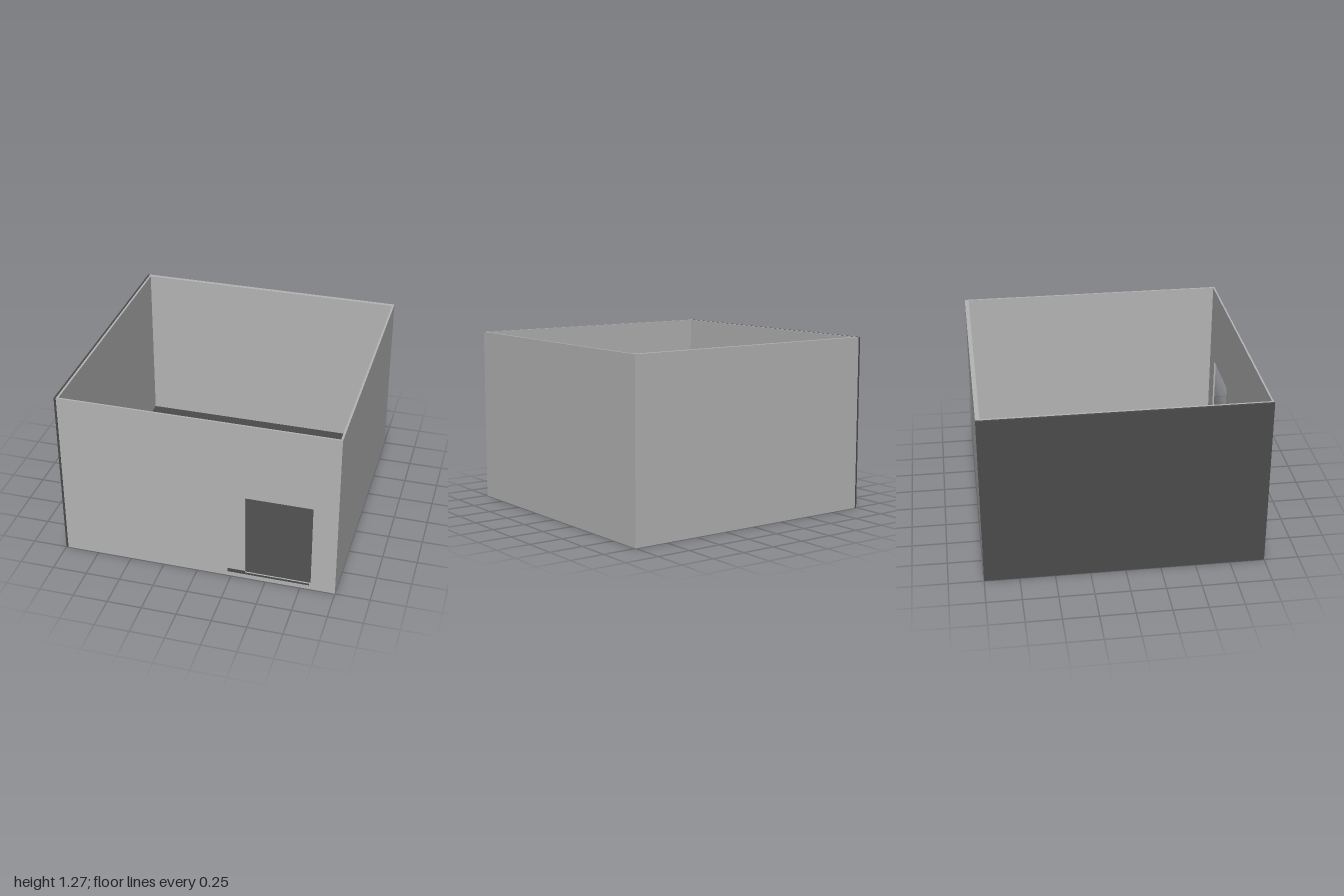
import * as THREE from 'three';

export function createModel() {
  const model = new THREE.Group();
  model.name = 'openRoom';

  const lightGrey = new THREE.MeshStandardMaterial({ color: 0xb4b4b4 });
  lightGrey.name = 'light grey';
  const darkGrey = new THREE.MeshStandardMaterial({ color: 0x4b4b4b });
  darkGrey.name = 'dark grey';

  const height = 1.27;

  // Box given by its minimum and maximum corners
  function box(name, material, [x0, y0, z0], [x1, y1, z1]) {
    const geometry = new THREE.BoxGeometry(x1 - x0, y1 - y0, z1 - z0);
    geometry.translate((x0 + x1) / 2, (y0 + y1) / 2, (z0 + z1) / 2);
    const mesh = new THREE.Mesh(geometry, material);
    mesh.name = name;
    model.add(mesh);
  }

  // Rectangle outline, used for the front wall and its doorway
  function rectangle(path, x0, y0, x1, y1) {
    path.moveTo(x0, y0);
    path.lineTo(x1, y0);
    path.lineTo(x1, y1);
    path.lineTo(x0, y1);
    path.closePath();
    return path;
  }

  // Floor: pale base with a dark covering
  box('floorBase', lightGrey, [-0.985, 0, -0.97], [0.985, 0.04, 0.985]);
  box('floorCovering', darkGrey, [-0.97, 0.04, -0.97], [0.985, 0.048, 0.985]);

  // Plain walls
  box('backWall', lightGrey, [-0.985, 0, -1], [1, height, -0.97]);
  box('leftWall', lightGrey, [0.985, 0, -0.97], [1, height, 0.985]);
  box('rightWallLining', lightGrey, [-0.985, 0, -0.97], [-0.97, height, 0.985]);
  box('rightWallCladding', darkGrey, [-1, 0, -1], [-0.985, height, 1]);

  // Front wall with an open doorway
  const outline = rectangle(new THREE.Shape(), -0.985, 0, 1, height);
  outline.holes.push(rectangle(new THREE.Path(), 0.35, 0.048, 0.825, 0.69));
  const frontGeometry = new THREE.ExtrudeGeometry(outline, { depth: 0.013, bevelEnabled: false });
  frontGeometry.translate(0, 0, 0.985);
  const frontWall = new THREE.Mesh(frontGeometry, lightGrey);
  frontWall.name = 'frontWall';
  model.add(frontWall);

  // Dark threshold strip, with a taller end beside the doorway
  box('threshold', darkGrey, [0.35, 0.035, 0.996], [0.815, 0.048, 1]);
  box('thresholdEnd', darkGrey, [0.225, 0.035, 0.996], [0.35, 0.063, 1]);

  return model;
}
